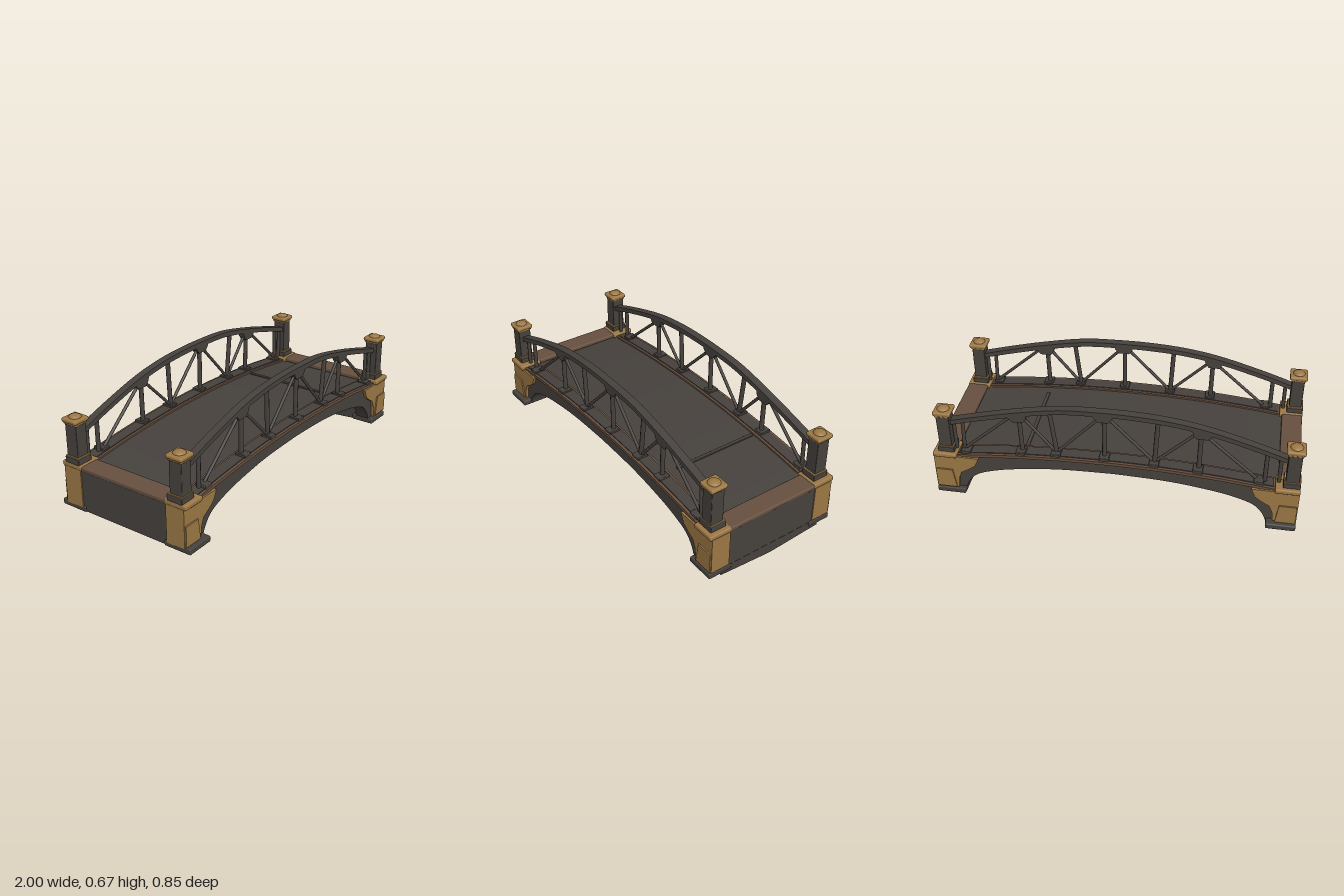
import * as THREE from 'three';
import { RoundedBoxGeometry } from 'three/addons/geometries/RoundedBoxGeometry.js';

const material = (name, color) => {
  const m = new THREE.MeshStandardMaterial({ color });
  m.name = name;
  return m;
};

export function createModel() {
  const iron = material('dark iron', 0x46413d);
  const gold = material('aged gold', 0x9c7845);
  const brown = material('brown trim', 0x664f3f);
  const bridge = new THREE.Group();
  bridge.name = 'archBridge';

  const add = (name, geometry, mat) => {
    const mesh = new THREE.Mesh(geometry, mat);
    mesh.name = name;
    bridge.add(mesh);
    return mesh;
  };
  // Box given by its limits on each axis, with softened edges
  const box = (name, mat, [x0, x1], [y0, y1], [z0, z1], r = 0.004) => {
    const g = new RoundedBoxGeometry(x1 - x0, y1 - y0, z1 - z0, 2, r);
    g.translate((x0 + x1) / 2, (y0 + y1) / 2, (z0 + z1) / 2);
    return add(name, g, mat);
  };
  // Side-view outline extruded between two z limits
  const slab = (name, mat, points, [z0, z1]) => {
    const shape = new THREE.Shape(points.map(([x, y]) => new THREE.Vector2(x, y)));
    const g = new THREE.ExtrudeGeometry(shape, { depth: z1 - z0, bevelEnabled: false });
    g.translate(0, 0, z0);
    return add(name, g, mat);
  };
  const strut = (name, x0, y0, x1, y1, z, r) => {
    const a = new THREE.Vector3(x0, y0, z), b = new THREE.Vector3(x1, y1, z);
    const dir = b.clone().sub(a);
    const mesh = add(name, new THREE.CylinderGeometry(r, r, dir.length(), 8), iron);
    mesh.position.copy(a).add(b).multiplyScalar(0.5);
    mesh.quaternion.setFromUnitVectors(new THREE.Vector3(0, 1, 0), dir.normalize());
  };
  const spline = (pts, n) => new THREE.SplineCurve(pts.map(p => new THREE.Vector2(...p)))
    .getPoints(n).map(p => [p.x, p.y]);

  // Arched walkway line and curved bands that follow it
  const topY = x => 0.357 - 0.075 * x * x;
  const line = (half, offset, n = 36) => Array.from({ length: n + 1 }, (_, i) => {
    const x = -half + 2 * half * i / n;
    return [x, topY(x) + offset];
  });
  const band = (half, hi, lo) => [...line(half, lo), ...line(half, hi).reverse()];

  // Deck, its seam and the beams beneath
  slab('deck', iron, band(0.9, -0.01, -0.04), [-0.3, 0.3]);
  box('deckSeam', iron, [0.482, 0.502], [0.325, 0.336], [-0.28, 0.23], 0.002);
  for (const x of [-0.82, -0.45, 0.3, 0.78])
    box('crossBeam', iron, [x - 0.02, x + 0.02], [topY(x) - 0.062, topY(x) - 0.03], [-0.3, 0.3]);

  // Underside curve of the side girders, left half then right half
  const halfArch = spline([[0.835, 0.07], [0.815, 0.115], [0.77, 0.165], [0.69, 0.2],
    [0.55, 0.234], [0.3, 0.267], [0, 0.278]], 30);
  const under = [...halfArch.map(([x, y]) => [-x, y]),
    ...halfArch.slice(0, -1).reverse()];
  const girder = [[-0.99, 0.07], ...under, [0.99, 0.07], [0.99, 0.295], [0.88, 0.295],
    ...line(0.86, -0.012).reverse(), [-0.88, 0.295], [-0.99, 0.295]];

  const railTop = spline([[-0.93, 0.483], [-0.74, 0.547], [-0.5, 0.615], [-0.3, 0.65], [-0.1, 0.664],
    [0.1, 0.664], [0.3, 0.652], [0.54, 0.605], [0.74, 0.555], [0.92, 0.505]], 48);
  const railY = x => {
    const i = Math.max(1, railTop.findIndex(p => p[0] >= x));
    const [a, b] = [railTop[i - 1], railTop[i]];
    return a[1] + (b[1] - a[1]) * (x - a[0]) / (b[0] - a[0]);
  };
  const rail = [...railTop.map(([x, y]) => [x, y - 0.028]), ...railTop.slice().reverse()];

  for (const side of [1, -1]) {
    const zr = (a, b) => side > 0 ? [a, b] : [-b, -a];
    const z = side * 0.333;
    slab('sideGirder', iron, girder, zr(0.292, 0.375));
    slab('curb', brown, band(0.88, 0, -0.018), zr(0.286, 0.382));
    slab('curbEdge', iron, band(0.86, 0.005, -0.002), zr(0.3, 0.366));

    // Truss railing
    slab('handrail', iron, rail, zr(0.311, 0.355));
    for (const x of [-0.47, 0.055, 0.52]) {
      const y = railY(x) - 0.015;
      const plate = [[-0.055, 0], [-0.05, -0.024], [-0.03, -0.05], [0.03, -0.05], [0.05, -0.024], [0.055, 0]];
      slab('gusset', iron, plate.map(([px, py]) => [x + px, y + py]), zr(0.313, 0.353));
    }
    // Uprights: foot x, head x, radius
    for (const [x0, x1, r] of [[-0.885, -0.885, 0.011], [-0.81, -0.81, 0.012], [-0.458, -0.462, 0.013],
      [-0.22, -0.235, 0.013], [0.05, 0.05, 0.013], [0.312, 0.345, 0.013], [0.505, 0.512, 0.013],
      [0.835, 0.83, 0.011], [0.88, 0.88, 0.011]])
      strut('upright', x0, topY(x0) - 0.01, x1, railY(x1) - 0.015, z, r);
    for (const [x0, y0, x1, y1] of [[-0.78, 0.31, -0.48, 0.575], [-0.22, 0.36, -0.44, 0.58],
      [-0.22, 0.36, 0.03, 0.62], [0.31, 0.36, 0.07, 0.62], [0.32, 0.36, 0.5, 0.58], [0.83, 0.32, 0.54, 0.58]])
      strut('brace', x0, y0, x1, y1, z, 0.009);
    for (const x of [-0.78, -0.455, -0.22, 0.05, 0.315, 0.51, 0.82])
      box('uprightFoot', iron, [x - 0.027, x + 0.027], [topY(x) - 0.01, topY(x) + 0.016],
        zr(0.308, 0.372));

    // Corner piers with posts; the two ends differ slightly
    for (const end of [
      { s: -1, post: -0.953, cap: 0.53, foot: 0.052, footZ: 0.425 },
      { s: 1, post: 0.927, cap: 0.548, foot: 0.036, footZ: 0.402 }]) {
      const xr = (a, b) => end.s > 0 ? [a, b] : [-b, -a];
      const cover = [[1, 0.075], [0.875, 0.075], [0.868, 0.14], [0.85, 0.185], [0.8, 0.215],
        [0.768, 0.24], [0.745, 0.292], [1, 0.292]].map(([x, y]) => [x * end.s, y]);
      slab('cornerCover', gold, cover, zr(0.28, 0.392));
      // Flared outer skirt of the pier
      slab('pierSkirt', gold, [[0.995, 0.08], [0.885, 0.08], [0.9, 0.2], [0.995, 0.2]]
        .map(([x, y]) => [x * end.s, y]), zr(0.38, 0.4));
      box('pierFoot', iron, xr(0.838, 1), [end.foot, end.foot + 0.034], zr(0.262, end.footZ), 0.008);
      box('pierTop', gold, xr(0.868, 1), [0.288, 0.316], zr(0.272, 0.405), 0.008);

      const p = end.post;
      const around = h => [p - h, p + h];
      box('postBase', iron, around(0.046), [0.312, 0.346], zr(0.288, 0.382));
      box('postBaseTrim', gold, around(0.044), [0.344, 0.352], zr(0.29, 0.38), 0.003);
      box('post', iron, around(0.036), [0.34, end.cap + 0.01], zr(0.3, 0.376));
      box('capCollar', gold, around(0.041), [end.cap - 0.004, end.cap + 0.01], zr(0.296, 0.382), 0.005);
      box('postCap', gold, around(0.05), [end.cap + 0.007, end.cap + 0.031], zr(0.288, 0.388), 0.01);
      const dome = add('capDome', new THREE.SphereGeometry(0.034, 20, 8, 0, Math.PI * 2, 0, Math.PI / 2), gold);
      dome.scale.y = 0.5;
      dome.position.set(p, end.cap + 0.029, side * 0.338);
    }
  }

  // End walls and the brown thresholds over them
  for (const s of [-1, 1]) {
    const xr = (a, b) => s > 0 ? [a, b] : [-b, -a];
    box('endWall', iron, xr(0.89, 0.994), [0.055, 0.292], [-0.295, 0.295]);
    box('threshold', brown, xr(0.882, 0.998), [0.286, 0.312], [-0.29, 0.29], 0.008);
  }
  // Shallow keel below the right-hand wall
  const keelShape = new THREE.Shape([[-0.325, 0.065], [-0.325, 0.022], [0, 0], [0.325, 0.022], [0.325, 0.065]]
    .map(([a, b]) => new THREE.Vector2(a, b)));
  const keel = new THREE.ExtrudeGeometry(keelShape, { depth: 0.105, bevelEnabled: false });
  keel.rotateY(Math.PI / 2).translate(0.89, 0, 0);
  add('wallKeel', keel, iron);

  return bridge;
}
